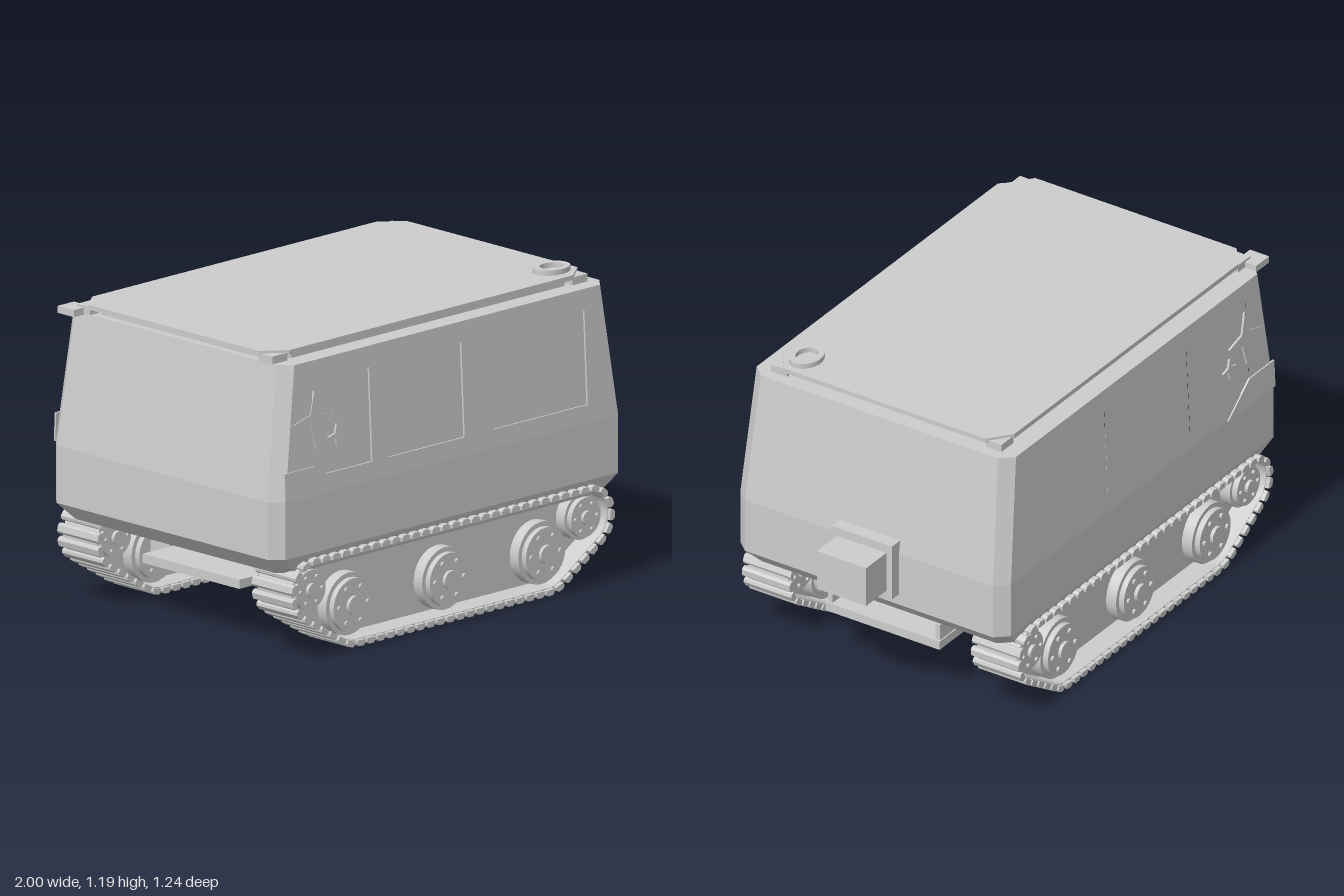
import * as THREE from 'three';
import { mergeGeometries } from 'three/addons/utils/BufferGeometryUtils.js';

const grey = new THREE.MeshStandardMaterial({ color: 0xcccccc });
grey.name = 'light grey';

function add(parent, name, geo, x = 0, y = 0, z = 0) {
  const mesh = new THREE.Mesh(geo, grey);
  mesh.name = name;
  mesh.position.set(x, y, z);
  parent.add(mesh);
  return mesh;
}

// Box given by its limits on each axis
function box(parent, name, x0, x1, y0, y1, z0, z1) {
  return add(parent, name, new THREE.BoxGeometry(x1 - x0, y1 - y0, z1 - z0),
    (x0 + x1) / 2, (y0 + y1) / 2, (z0 + z1) / 2);
}

const poly = (pts, sx = 1) => new THREE.Shape(pts.map(([x, y]) => new THREE.Vector2(x * sx, y)));
const rect = (x0, x1, y0, y1) => [[x0, y0], [x1, y0], [x1, y1], [x0, y1]];
const extrude = (shape, depth) => new THREE.ExtrudeGeometry(shape, { depth, bevelEnabled: false, curveSegments: 24 });

// Octagon outline with cut corners
function octagon(x0, x1, h, cx, cz = cx) {
  return [[x1, cz - h], [x1, h - cz], [x1 - cx, h], [x0 + cx, h],
    [x0, h - cz], [x0, cz - h], [x0 + cx, -h], [x1 - cx, -h]];
}

// Cabin shell: octagonal rings joined by flat faces; upper sides are left open for the window panels
function cabinGeometry() {
  const rings = [[0.33, -0.93, 0.75, 0.575], [0.4, -1, 0.82, 0.605], [0.62, -1, 0.82, 0.605], [1.13, -0.93, 0.75, 0.58]]
    .map(([y, x0, x1, h]) => octagon(x0, x1, h, 0.045, 0.05).map(([x, z]) => [x, y, z]));
  const pos = [];
  const tri = (...p) => p.forEach(v => pos.push(...v));
  for (let r = 0; r < 3; r++) {
    const lo = rings[r], hi = rings[r + 1];
    for (let i = 0; i < 8; i++) {
      if (r === 2 && (i === 2 || i === 6)) continue;
      const j = (i + 1) % 8;
      tri(lo[j], lo[i], hi[i]);
      tri(lo[j], hi[i], hi[j]);
    }
  }
  for (let i = 1; i < 7; i++) {
    tri(rings[0][0], rings[0][i], rings[0][i + 1]);
    tri(rings[3][0], rings[3][i + 1], rings[3][i]);
  }
  const geo = new THREE.BufferGeometry();
  geo.setAttribute('position', new THREE.Float32BufferAttribute(pos, 3));
  geo.computeVertexNormals();
  return geo;
}

function star(cx, cy, r, sx) {
  const pts = [];
  for (let i = 0; i < 8; i++) {
    const a = i * Math.PI / 4, d = i % 2 ? r * 0.3 : r;
    pts.push([cx + d * Math.cos(a), cy + d * Math.sin(a)]);
  }
  return poly(pts, sx);
}

// Sloping upper side with recessed windows and raised decorations; s is +1 or -1
function sidePanel(s) {
  const turn = new THREE.Group(), side = new THREE.Group();
  turn.name = s > 0 ? 'leftSide' : 'rightSide';
  turn.rotation.y = s > 0 ? 0 : Math.PI;
  side.position.set(0, 0.62, 0.605);
  side.rotation.x = -Math.atan2(0.025, 0.51);
  turn.add(side);
  const panel = poly([[-0.955, 0], [0.775, 0], [0.705, 0.5106], [-0.885, 0.5106]], s);
  for (const [x0, x1] of [[-0.8, -0.5], [-0.41, -0.02], [0.13, 0.62]]) {
    panel.holes.push(poly(rect(x0, x1, 0.07, 0.43), s));
    const pane = new THREE.BoxGeometry(x1 - x0 + 0.02, 0.38, 0.006);
    add(side, 'window', pane, s * (x0 + x1) / 2, 0.25, -0.011);
  }
  add(side, 'sidePanel', extrude(panel, 0.012), 0, 0, -0.012);
  add(side, 'largeStar', extrude(star(-0.79, 0.285, 0.11, s), 0.009), 0, 0, -0.005);
  add(side, 'smallStar', extrude(star(-0.68, 0.205, 0.045, s), 0.009), 0, 0, -0.005);
  add(side, 'cornerStripe', extrude(poly([[-0.96, 0], [-0.65, 0], [-0.8, 0.11], [-0.96, 0.11]], s), 0.008), 0, 0, -0.002);
  return turn;
}

const bigWheels = [-0.59, -0.09, 0.41].map(x => [x, 0.155, 0.12]);
const endWheels = [[0.62, 0.255, 0.09], [-0.81, 0.255, 0.09]];

// Closed path wrapped around the outer wheels, off being the gap to the wheel rims
function trackPath(off, Type = THREE.Path) {
  const c = [endWheels[0], endWheels[1], bigWheels[0], bigWheels[2]];
  const normals = c.map(([x, y, r], i) => {
    const [x2, y2, r2] = c[(i + 1) % 4];
    return Math.atan2(y2 - y, x2 - x) - Math.acos((r - r2) / Math.hypot(x2 - x, y2 - y));
  });
  const path = new Type();
  c.forEach(([x, y, r], i) => path.absarc(x, y, r + off, normals[(i + 3) % 4], normals[i], false));
  path.closePath();
  return path;
}

// Wheel with two discs, a hub and a bolt ring on both faces
function wheelGeometry(r) {
  const disc = (rad, len, x, y, z, n) =>
    new THREE.CylinderGeometry(rad, rad, len, n).rotateX(Math.PI / 2).translate(x, y, z);
  const parts = [disc(r * 0.82, 0.12, 0, 0, 0, 32)];
  for (const s of [-1, 1]) {
    parts.push(disc(r, 0.045, 0, 0, s * 0.035, 32), disc(r * 0.85, 0.03, 0, 0, s * 0.065, 32),
      disc(r * 0.3, 0.02, 0, 0, s * 0.084, 16));
    for (let i = 0; i < 6; i++) {
      const a = i * Math.PI / 3;
      parts.push(disc(r * 0.09, 0.014, r * 0.62 * Math.cos(a), r * 0.62 * Math.sin(a), s * 0.082, 8));
    }
  }
  return mergeGeometries(parts);
}

function track(s) {
  const g = new THREE.Group();
  g.name = s > 0 ? 'leftTrack' : 'rightTrack';
  g.position.z = s * 0.512;
  const belt = trackPath(0.02, THREE.Shape);
  belt.holes.push(trackPath(0.01));
  add(g, 'trackBelt', extrude(belt, 0.18), 0, 0, -0.09);
  add(g, 'trackWeb', extrude(trackPath(0.005, THREE.Shape), 0.012), 0, 0, -0.006);
  // Tread pads spaced along the loop
  const n = 70, pts = trackPath(0.02).getSpacedPoints(n), pads = [];
  const section = poly([[-0.02, -0.008], [0.02, -0.008], [0.02, 0.006], [0.012, 0.015], [-0.012, 0.015], [-0.02, 0.006]]);
  for (let i = 0; i < n; i++) {
    const p = pts[i], a = pts[(i + n - 1) % n], b = pts[(i + 1) % n];
    const angle = Math.atan2(b.y - a.y, b.x - a.x);
    pads.push(extrude(section, 0.214).translate(0, 0, -0.107).rotateZ(angle + Math.PI).translate(p.x, p.y, 0));
  }
  add(g, 'treadPads', mergeGeometries(pads));
  for (const [x, y, r] of bigWheels) add(g, 'roadWheel', wheelGeometry(r), x, y);
  for (const [x, y, r] of endWheels) add(g, 'endWheel', wheelGeometry(r), x, y);
  return g;
}

export function createModel() {
  const model = new THREE.Group();
  model.name = 'trackedVehicle';
  add(model, 'cabin', cabinGeometry());
  for (const s of [-1, 1]) {
    model.add(sidePanel(s), track(s));
    // Axle brackets behind the road wheels
    for (const [x] of bigWheels) {
      const m = box(model, 'axleBracket', x - 0.045, x + 0.045, 0.14, 0.33, 0.33, 0.43);
      m.position.z *= s;
    }
    // Upright ears on the undertray
    const ear = box(model, 'undertrayEar', 0.62, 0.72, 0.23, 0.3, 0.23, 0.25);
    ear.position.z *= s;
    // Roof corner blocks
    for (const x of [-0.895, 0.665]) box(model, 'roofCorner', x - 0.04, x + 0.04, 1.13, 1.16, s * 0.48 - 0.035, s * 0.48 + 0.035);
  }

  // Roof: recessed base and a thin lid with cut corners
  const slab = (pts, depth) => extrude(poly(pts), depth).rotateX(-Math.PI / 2);
  add(model, 'roofBase', slab(octagon(-0.9, 0.68, 0.5, 0.08), 0.025), 0, 1.13, 0);
  add(model, 'roofLid', slab(octagon(-0.94, 0.715, 0.52, 0.09, 0.07), 0.018), 0, 1.152, 0);
  box(model, 'cornerBlock', -0.985, -0.9, 1.125, 1.152, -0.565, -0.48);

  // Roof hatch ring
  const ring = new THREE.Shape().absarc(0, 0, 0.078, 0, Math.PI * 2);
  ring.holes.push(new THREE.Path().absarc(0, 0, 0.05, 0, Math.PI * 2));
  const hatch = extrude(ring, 0.022).rotateX(-Math.PI / 2).scale(1, 1, 0.78);
  add(model, 'hatchRing', hatch, 0.61, 1.168, 0.42);

  // End box on its mounting plate
  box(model, 'mountingPlate', 0.81, 0.867, 0.445, 0.673, -0.135, 0.135);
  box(model, 'endBox', 0.86, 1, 0.475, 0.638, -0.11, 0.11);

  // Underside
  box(model, 'undertray', -0.85, 0.73, 0.2, 0.235, -0.255, 0.255);
  box(model, 'bellyBlock', -0.6, 0.6, 0.275, 0.335, -0.17, 0.295);
  return model;
}
